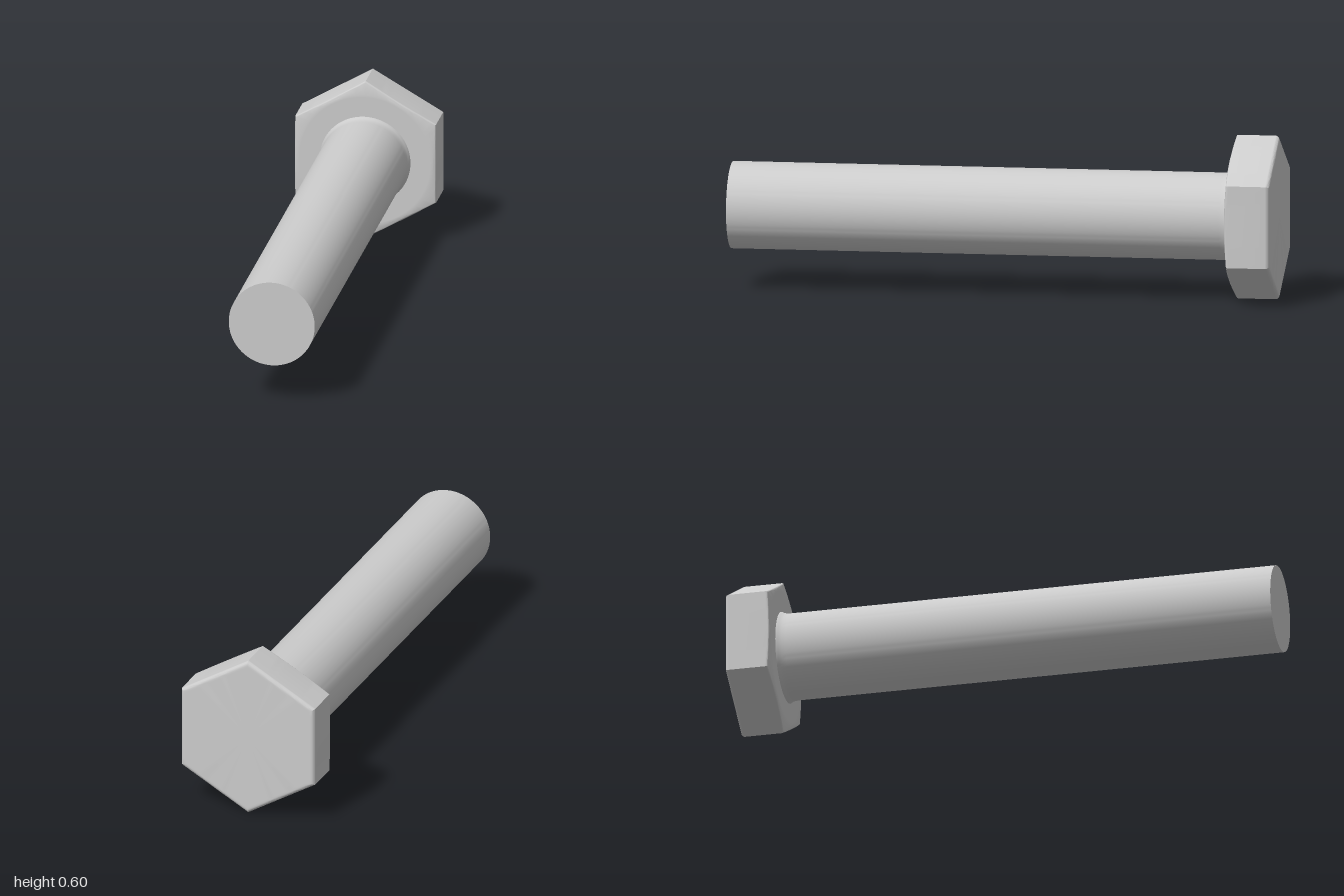
import * as THREE from 'three';
import { toCreasedNormals } from 'three/addons/utils/BufferGeometryUtils.js';

const APOTHEM = 0.259;
const CENTER_Y = APOTHEM / Math.cos(Math.PI / 6);
const BACK = -1, FRONT = -0.835;
const SHANK_R = 0.158;

// Radius of a hexagon with a corner pointing up, at a given angle
function hexRadius(angle, apothem) {
  const step = Math.PI / 3;
  return apothem / Math.cos(angle - Math.round(angle / step) * step);
}

// Skin a list of rings; each ring maps an angle to [radius, z]
function loftRings(rings, segments) {
  const positions = [], index = [];
  for (const ring of rings) {
    for (let j = 0; j < segments; j++) {
      const a = (j / segments) * Math.PI * 2;
      const [r, z] = ring(a);
      positions.push(r * Math.cos(a), r * Math.sin(a), z);
    }
  }
  for (let i = 0; i < rings.length - 1; i++) {
    for (let j = 0; j < segments; j++) {
      const k = (j + 1) % segments;
      const a = i * segments + j, b = i * segments + k;
      const c = a + segments, d = b + segments;
      index.push(a, b, c, b, d, c);
    }
  }
  const geometry = new THREE.BufferGeometry();
  geometry.setAttribute('position', new THREE.Float32BufferAttribute(positions, 3));
  geometry.setIndex(index);
  return geometry;
}

// Hexagonal head: rounded rims, with a shallow cone cutting the front corners
function headGeometry() {
  const bevelBack = 0.014, bevelFront = 0.007, steps = 5, rings = [];
  const frontDrop = (a) => 0.15 * Math.max(0, hexRadius(a, APOTHEM) - 0.25);
  const hex = (inset, z) => (a) => [hexRadius(a, APOTHEM - inset), z];
  const hexFront = (inset, depth) => (a) =>
    [hexRadius(a, APOTHEM - inset), FRONT - depth - frontDrop(a)];

  rings.push(() => [0.0001, BACK], hex(bevelBack + 0.006, BACK));
  for (let i = 0; i <= steps; i++) {
    const t = (i / steps) * Math.PI / 2;
    rings.push(hex(bevelBack * (1 - Math.sin(t)), BACK + bevelBack * (1 - Math.cos(t))));
  }
  rings.push(hex(0, BACK + bevelBack + 0.006), hexFront(0, bevelFront + 0.005));
  for (let i = 0; i <= steps; i++) {
    const t = (i / steps) * Math.PI / 2;
    rings.push(hexFront(bevelFront * (1 - Math.cos(t)), bevelFront * (1 - Math.sin(t))));
  }
  rings.push(() => [0.249, FRONT], () => [0.24, FRONT], () => [0.1, FRONT]);
  return toCreasedNormals(loftRings(rings, 96), THREE.MathUtils.degToRad(25));
}

// Round shank with a flat tip and a small fillet under the head
function shankGeometry() {
  const profile = [
    [0.168, FRONT - 0.01], [0.167, FRONT], [0.162, FRONT + 0.008],
    [0.159, FRONT + 0.02], [SHANK_R, FRONT + 0.035], [SHANK_R, 1], [0, 1],
  ].map(([r, z]) => new THREE.Vector2(r, z));
  const geometry = new THREE.LatheGeometry(profile, 96);
  geometry.rotateX(Math.PI / 2);
  return toCreasedNormals(geometry, THREE.MathUtils.degToRad(35));
}

export function createModel() {
  const group = new THREE.Group();
  group.name = 'hexBolt';
  const material = new THREE.MeshStandardMaterial({ color: 0xcccccc });
  const parts = { head: headGeometry(), shank: shankGeometry() };
  for (const [name, geometry] of Object.entries(parts)) {
    const mesh = new THREE.Mesh(geometry, material);
    mesh.name = name;
    mesh.position.y = CENTER_Y;
    group.add(mesh);
  }
  return group;
}
